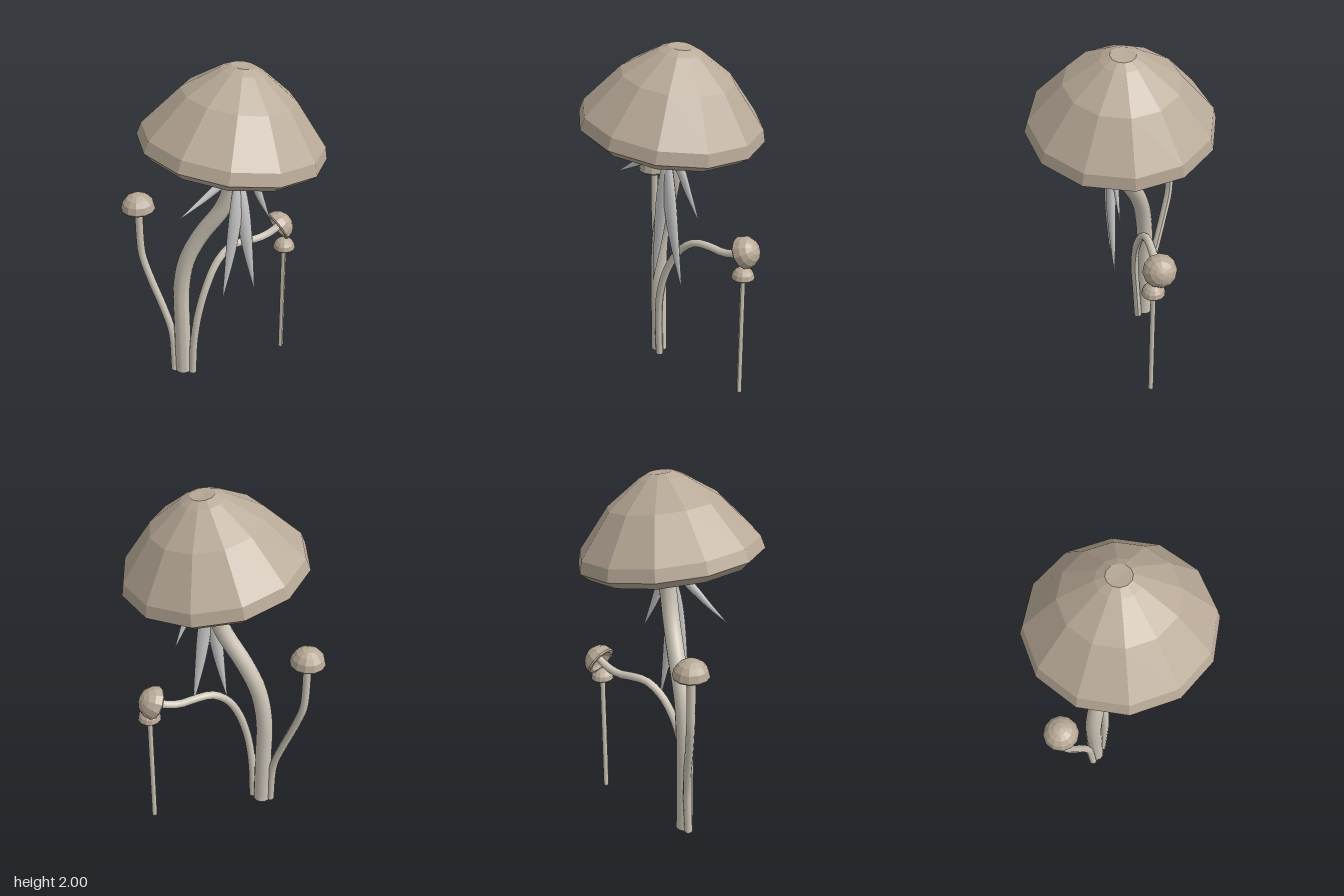
import * as THREE from 'three';

const mat = (color, extra = {}) => new THREE.MeshStandardMaterial({ color, ...extra });
const capMat = mat(0xb8a997, { flatShading: true });
const stemMat = mat(0xcdc5b7);
const bladeMat = mat(0xcccccc, { side: THREE.DoubleSide });
const curveOf = (pts) => new THREE.CatmullRomCurve3(pts.map((p) => new THREE.Vector3(...p)));

// Mushroom cap turned from a profile that runs from under the middle, round the rim, to the top
function cap(name, profile, position, tilt = 0, sides = 12) {
  const geo = new THREE.LatheGeometry(profile.map((p) => new THREE.Vector2(...p)), sides);
  const mesh = new THREE.Mesh(geo, capMat);
  mesh.name = name;
  mesh.position.set(...position);
  mesh.rotation.z = tilt;
  return mesh;
}

// Small domed cap of radius r with a thick lip and a shallow hollow underside
function smallCap(name, r, position, tilt) {
  const profile = [[0, 0.32], [0.4, 0.26], [0.66, 0.12], [0.78, -0.04], [0.94, -0.04], [1, 0.05],
    [0.9, 0.46], [0.66, 0.76], [0.34, 0.94], [0, 1]];
  return cap(name, profile.map(([x, y]) => [x * r, y * r]), position, tilt);
}

// Round stem along a path; radiusAt(t) gives its thickness
function stem(name, pts, radiusAt, sides = 10, steps = 28) {
  const curve = curveOf(pts);
  const geo = new THREE.TubeGeometry(curve, steps, 1, sides);
  const pos = geo.attributes.position;
  const v = new THREE.Vector3();
  for (let i = 0; i <= steps; i++) {
    const c = curve.getPointAt(i / steps);
    for (let j = 0; j <= sides; j++) {
      const k = i * (sides + 1) + j;
      v.fromBufferAttribute(pos, k).sub(c).multiplyScalar(radiusAt(i / steps)).add(c);
      pos.setXYZ(k, v.x, v.y, v.z);
    }
  }
  geo.computeVertexNormals();
  const group = new THREE.Group();
  group.name = name;
  const shaft = new THREE.Mesh(geo, stemMat);
  shaft.name = name + 'Shaft';
  const foot = new THREE.Mesh(new THREE.CircleGeometry(radiusAt(0), sides).rotateX(Math.PI / 2), stemMat);
  foot.name = name + 'Foot';
  foot.position.set(...pts[0]);
  group.add(shaft, foot);
  return group;
}

// Pointed, lens-shaped blade lying roughly in the xy plane
function blade(name, pts, width, depth) {
  const curve = curveOf(pts);
  const steps = 16;
  const sides = 8;
  const verts = [];
  const index = [];
  for (let i = 0; i <= steps; i++) {
    const t = i / steps;
    const p = curve.getPointAt(t);
    const d = curve.getTangentAt(t);
    const side = new THREE.Vector3(-d.y, d.x, 0).normalize();
    const swell = 0.5 * Math.max(Math.sin(Math.PI * Math.pow(t, 0.62)), 0.2 * (1 - t));
    for (let j = 0; j < sides; j++) {
      const a = (j / sides) * Math.PI * 2;
      const w = Math.cos(a) * swell * width;
      verts.push(p.x + side.x * w, p.y + side.y * w, p.z + Math.sin(a) * swell * depth);
      if (i < steps) {
        const k = i * sides + j;
        const n = i * sides + ((j + 1) % sides);
        index.push(k, n, k + sides, n, n + sides, k + sides);
      }
    }
  }
  const geo = new THREE.BufferGeometry();
  geo.setAttribute('position', new THREE.Float32BufferAttribute(verts, 3));
  geo.setIndex(index);
  geo.computeVertexNormals();
  const mesh = new THREE.Mesh(geo, bladeMat);
  mesh.name = name;
  return mesh;
}

export function createModel() {
  const model = new THREE.Group();
  model.name = 'mushroomCluster';

  // Large mushroom: leaning cap on a winding stem that flares under the cap
  model.add(cap('mainCap', [[0, 0.2], [0.14, 0.185], [0.28, 0.125], [0.375, 0.035], [0.4, -0.03],
    [0.45, -0.032], [0.5, 0.012], [0.482, 0.078], [0.3, 0.298], [0.115, 0.428], [0.066, 0.452], [0, 0.447]],
  [0, 1.541, 0], -0.148));
  model.add(stem('mainStem', [[-0.237, 0.02, -0.178], [-0.237, 0.35, -0.178], [-0.234, 0.62, -0.177],
    [-0.202, 0.82, -0.155], [-0.133, 0.99, -0.11], [-0.035, 1.175, -0.035], [0.003, 1.3, -0.01],
    [0.022, 1.45, -0.006], [0.03, 1.73, 0]],
  (t) => 0.048 + 0.075 * Math.pow(Math.max(0, (t - 0.83) / 0.17), 2), 12, 36));

  // Tall side mushroom at the back
  model.add(stem('backStem', [[-0.283, 0.02, -0.2], [-0.287, 0.3, -0.22], [-0.318, 0.46, -0.26],
    [-0.362, 0.63, -0.305], [-0.396, 0.79, -0.342], [-0.402, 0.87, -0.347], [-0.402, 1.13, -0.347]], () => 0.023));
  model.add(smallCap('backCap', 0.096, [-0.402, 1.105, -0.349], 0));

  // Bent side mushroom whose cap faces sideways
  model.add(stem('bentStem', [[-0.197, 0.015, -0.135], [-0.19, 0.25, -0.12], [-0.165, 0.45, -0.105],
    [-0.11, 0.63, -0.105], [-0.03, 0.77, -0.12], [0.06, 0.835, -0.135], [0.15, 0.84, -0.145],
    [0.25, 0.828, -0.15], [0.33, 0.843, -0.15], [0.4, 0.878, -0.15]], () => 0.023));
  model.add(smallCap('bentCap', 0.094, [0.382, 0.867, -0.152], -1.07));

  // Slender mushroom standing apart
  model.add(stem('slimStem', [[0.41, 0, -0.115], [0.41, 0.4, -0.115], [0.41, 0.755, -0.115]], () => 0.015, 8, 4));
  model.add(smallCap('slimCap', 0.065, [0.411, 0.737, -0.115], 0));

  // Hanging blades gathered in front of the main stem
  const blades = [
    ['leftLongBlade', [[0.02, 1.4, 0.05], [0.037, 1.2, 0.06], [0.067, 0.95, 0.06], [0.12, 0.62, 0.053]], 0.082, 0.055],
    ['rightLongBlade', [[0.01, 1.4, 0.05], [-0.006, 1.2, 0.06], [-0.037, 0.95, 0.06], [-0.089, 0.62, 0.053]], 0.08, 0.055],
    ['leftShortBlade', [[0, 1.34, 0.05], [0.03, 1.425, 0.058], [0.095, 1.365, 0.055], [0.155, 1.22, 0.045], [0.225, 1.055, 0.035]], 0.06, 0.04],
    ['rightShortBlade', [[0.03, 1.34, 0.05], [0, 1.425, 0.058], [-0.1, 1.375, 0.058], [-0.21, 1.305, 0.055], [-0.348, 1.225, 0.053]], 0.055, 0.04],
  ];
  for (const b of blades) model.add(blade(...b));

  return model;
}
